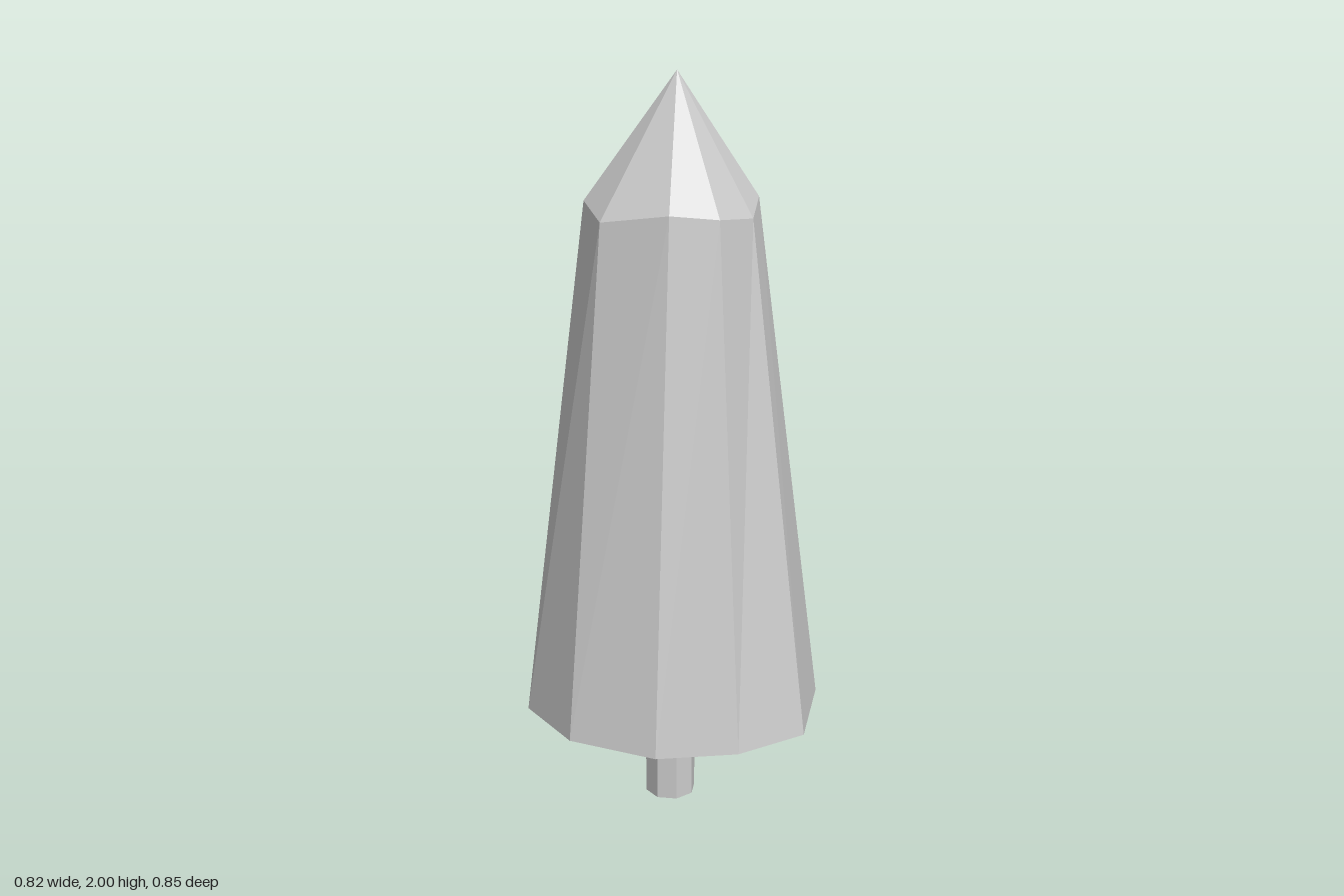
import * as THREE from 'three';

// Irregular ten-sided cross-sections, [x, y, z] per corner, going from +x towards +z
const lowerRing = [
  [0.41, 0.285, 0.05], [0.305, 0.295, 0.24], [0.065, 0.315, 0.425], [-0.135, 0.315, 0.385], [-0.31, 0.315, 0.262],
  [-0.413, 0.315, 0.04], [-0.367, 0.3, -0.2], [-0.103, 0.3, -0.427], [0.163, 0.305, -0.395], [0.305, 0.312, -0.222],
];
const upperRing = [
  [0.21, 1.7, 0.036], [0.16, 1.685, 0.13], [0.07, 1.65, 0.202], [-0.06, 1.665, 0.22], [-0.17, 1.68, 0.16],
  [-0.245, 1.65, -0.01], [-0.19, 1.68, -0.14], [-0.08, 1.69, -0.185], [0.075, 1.68, -0.198], [0.157, 1.67, -0.115],
];
const tip = [-0.01, 2, 0.01];
const baseCentre = [0, 0.306, 0];

// Join the rings with side faces, a pointed top and a closed underside
function foliageGeometry() {
  const corners = [];
  const n = lowerRing.length;
  for (let i = 0; i < n; i++) {
    const j = (i + 1) % n;
    const a = lowerRing[i], b = lowerRing[j], c = upperRing[i], d = upperRing[j];
    corners.push(a, c, b, b, c, d); // side
    corners.push(c, tip, d); // point
    corners.push(a, b, baseCentre); // underside
  }
  const geometry = new THREE.BufferGeometry();
  geometry.setAttribute('position', new THREE.Float32BufferAttribute(corners.flat(), 3));
  geometry.computeVertexNormals();
  return geometry;
}

export function createModel() {
  const group = new THREE.Group();
  group.name = 'tree';

  const foliage = new THREE.Mesh(
    foliageGeometry(),
    new THREE.MeshStandardMaterial({ color: 0xcccccc, flatShading: true }),
  );
  foliage.name = 'foliage';

  // Open-ended octagonal trunk
  const trunkHeight = 0.31;
  const trunk = new THREE.Mesh(
    new THREE.CylinderGeometry(0.07, 0.07, trunkHeight, 8, 1, true),
    new THREE.MeshStandardMaterial({ color: 0xcccccc, flatShading: true, side: THREE.DoubleSide }),
  );
  trunk.name = 'trunk';
  trunk.position.set(-0.013, trunkHeight / 2, -0.015);
  trunk.rotation.y = 0.3;

  group.add(foliage, trunk);
  return group;
}
